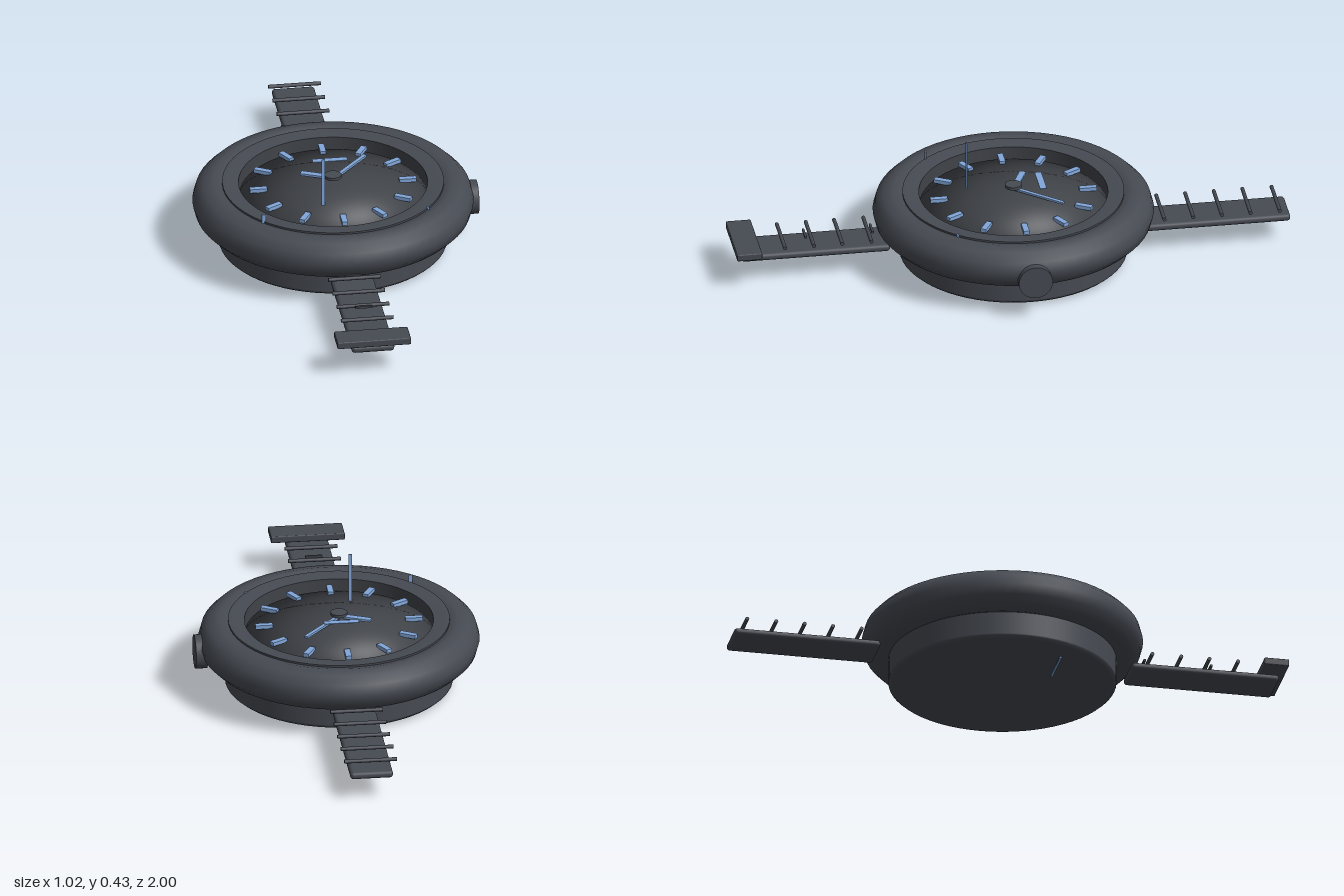
import * as THREE from 'three';
import { RoundedBoxGeometry } from 'three/addons/geometries/RoundedBoxGeometry.js';

const mat = (name, color, side = THREE.FrontSide) => {
  const m = new THREE.MeshStandardMaterial({ color, side });
  m.name = name;
  return m;
};

export function createModel() {
  const metal = mat('dark metal', 0x464a52);
  const dialGrey = mat('dial grey', 0x404348, THREE.DoubleSide);
  const blue = mat('marker blue', 0x82a7da);

  const model = new THREE.Group();
  model.name = 'wristwatch';
  const CX = -0.01, CZ = -0.014;

  const add = (name, geo, material, x = 0, y = 0, z = 0, parent = model) => {
    const m = new THREE.Mesh(geo, material);
    m.name = name;
    m.position.set(x, y, z);
    parent.add(m);
    return m;
  };
  const box = (name, w, h, d, material, x, y, z, parent) =>
    add(name, new THREE.BoxGeometry(w, h, d), material, x, y, z, parent);
  const lathe = (name, pts, material, parent) =>
    add(name, new THREE.LatheGeometry(pts.map(p => new THREE.Vector2(...p)), 64), material, 0, 0, 0, parent);

  // Round body, centred on the watch axis
  const body = new THREE.Group();
  body.name = 'watchBody';
  body.position.set(CX, 0, CZ);
  model.add(body);

  lathe('case', [[0, 0.009], [0.39, 0.009], [0.396, 0.009], [0.405, 0.017], [0.405, 0.023], [0.405, 0.17]], metal, body);
  const bezel = add('bezel', new THREE.TorusGeometry(0.424, 0.076, 12, 64), metal, 0, 0.177, 0, body);
  bezel.rotation.x = -Math.PI / 2;

  // Raised ring inside the bezel
  lathe('innerRimEdge', [[0.394, 0.235], [0.394, 0.252]], metal, body);
  lathe('innerRim', [[0.394, 0.252], [0.378, 0.252], [0.336, 0.247]], metal, body);
  lathe('dialWall', [[0.336, 0.247], [0.336, 0.19]], dialGrey, body);

  // Domed dial: a hemisphere pressed flat, keeping its rounded shading
  const dome = new THREE.SphereGeometry(0.336, 64, 24, 0, Math.PI * 2, 0, Math.PI / 2);
  const pos = dome.attributes.position;
  for (let i = 0; i < pos.count; i++) pos.setY(i, pos.getY(i) * 0.18);
  add('dial', dome, dialGrey, 0, 0.19, 0, body);

  // Twelve hour markers
  for (let i = 0; i < 12; i++) {
    const a = i * Math.PI / 6;
    const marker = box('hourMarker', 0.021, 0.014, 0.062, blue,
      Math.sin(a) * 0.268, 0.236, -Math.cos(a) * 0.268, body);
    marker.rotation.y = -a;
  }

  // Hands, each lying from one dial point to another
  const hand = (name, x0, z0, x1, z1, width, y) => {
    const h = box(name, width, 0.008, Math.hypot(x1 - x0, z1 - z0), blue,
      (x0 + x1) / 2, y, (z0 + z1) / 2);
    h.rotation.y = Math.atan2(x1 - x0, z1 - z0);
  };
  hand('hourHand', -0.028, -0.026, -0.118, -0.066, 0.023, 0.263);
  hand('minuteHand', CX, CZ, 0.128, -0.172, 0.014, 0.259);
  add('hub', new THREE.CylinderGeometry(0.03, 0.03, 0.011, 24), metal, CX, 0.271, CZ);
  box('dialPlate', 0.125, 0.003, 0.024, blue, -0.007, 0.283, -0.112);

  // Upright pins above the dial
  box('tallPin', 0.012, 0.193, 0.004, blue, -0.069, 0.329, 0.145);
  box('shortPin', 0.014, 0.05, 0.005, blue, -0.298, 0.255, 0.255);
  box('lowPin', 0.01, 0.03, 0.008, blue, 0.294, 0.24, 0.235);

  // Crown on the left side
  const crown = add('crown', new THREE.CylinderGeometry(0.061, 0.061, 0.042, 32), metal, 0.486, 0.149, -0.012);
  crown.rotation.z = Math.PI / 2;

  // Strap halves with cross rods
  const strap = (name, z0, z1, rods) => {
    add(name, new RoundedBoxGeometry(0.153, 0.026, z1 - z0, 3, 0.012), metal, CX, 0.095, (z0 + z1) / 2);
    for (const z of rods) {
      const rod = add('strapRod', new THREE.CylinderGeometry(0.007, 0.007, 0.188, 10), metal, CX, 0.137, z);
      rod.rotation.z = Math.PI / 2;
    }
  };
  strap('frontStrap', 0.44, 0.975, [0.511, 0.616, 0.718, 0.822]);
  strap('backStrap', -1, -0.47, [-0.958, -0.853, -0.75, -0.647, -0.543]);
  add('buckle', new RoundedBoxGeometry(0.264, 0.026, 0.09, 2, 0.004), metal, CX, 0.131, 0.955);

  // Short keeper bars on the front strap
  for (const z of [0.497, 0.738]) box('keeperBar', 0.06, 0.008, 0.008, metal, CX, 0.141, z);

  // Thin bar on the underside
  box('backBar', 0.16, 0.006, 0.008, blue, -0.21, 0.003, 0.14);

  return model;
}
